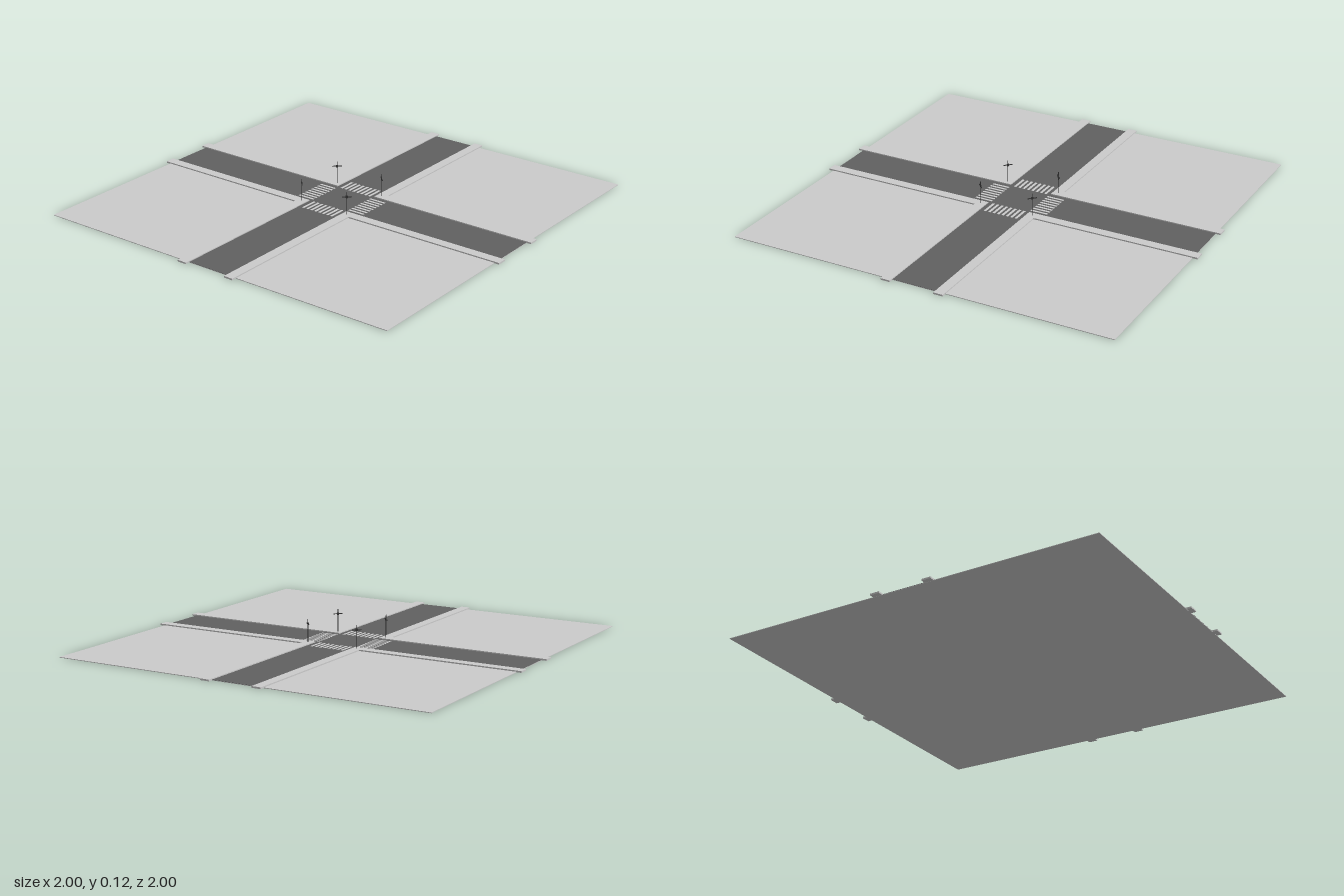
import * as THREE from 'three';

const paint = (color) => new THREE.MeshStandardMaterial({ color });

export function createModel() {
  const model = new THREE.Group();
  model.name = 'crossroads';
  const groundMat = paint(0xbdbdbd);
  const roadMat = paint(0x606060);
  const kerbMat = paint(0xcccccc);
  const stripeMat = paint(0xd8d8d8);
  const darkMat = paint(0x333333);

  // Box placed by its centre in plan and its base height
  function slab(parent, name, mat, w, h, d, x, y, z) {
    const mesh = new THREE.Mesh(new THREE.BoxGeometry(w, h, d), mat);
    mesh.name = name;
    mesh.position.set(x, y + h / 2, z);
    parent.add(mesh);
    return mesh;
  }

  // Thin ground plate with the two crossing roads on it
  const half = 0.975, roadHalf = 0.112;
  slab(model, 'ground', groundMat, half * 2, 0.003, half * 2, 0, 0, 0);
  slab(model, 'roadAlongZ', roadMat, roadHalf * 2, 0.001, half * 2, 0, 0.003, 0);
  for (const s of [-1, 1]) {
    const len = half - roadHalf;
    slab(model, 'roadAlongX', roadMat, len, 0.001, roadHalf * 2, s * (roadHalf + len / 2), 0.003, 0);
  }

  // Each corner: two raised pavements running past the ground edge, and a signal post
  const walk = 0.048, walkMid = roadHalf + walk / 2, walkLen = 1 - roadHalf;
  for (const sx of [-1, 1]) {
    for (const sz of [-1, 1]) {
      const corner = new THREE.Group();
      corner.name = 'corner';
      model.add(corner);
      slab(corner, 'pavementAlongX', kerbMat, walkLen, 0.008, walk, sx * (roadHalf + walkLen / 2), 0.001, sz * walkMid);
      const rest = walkLen - walk;
      slab(corner, 'pavementAlongZ', kerbMat, walk, 0.008, rest, sx * walkMid, 0.001, sz * (1 - rest / 2));

      const post = new THREE.Group();
      post.name = 'signalPost';
      post.position.set(sx * 0.136, 0.008, sz * 0.14);
      post.rotation.y = Math.atan2(-sx, -sz); // faces the middle of the junction
      corner.add(post);
      const pole = new THREE.Mesh(new THREE.CylinderGeometry(0.0015, 0.0015, 0.114, 8), darkMat);
      pole.name = 'pole';
      pole.position.y = 0.057;
      post.add(pole);
      slab(post, 'crossArm', darkMat, 0.046, 0.004, 0.003, 0, 0.088, 0);
      slab(post, 'signalHead', darkMat, 0.01, 0.012, 0.005, 0, 0.084, 0.001);
    }
  }

  // Four zebra crossings, eight stripes each
  for (let side = 0; side < 4; side++) {
    const crossing = new THREE.Group();
    crossing.name = 'crossing';
    crossing.rotation.y = side * Math.PI / 2;
    for (let i = 0; i < 8; i++) {
      slab(crossing, 'stripe', stripeMat, 0.012, 0.001, 0.09, (i - 3.5) * 0.024, 0.004, 0.151);
    }
    model.add(crossing);
  }
  return model;
}
